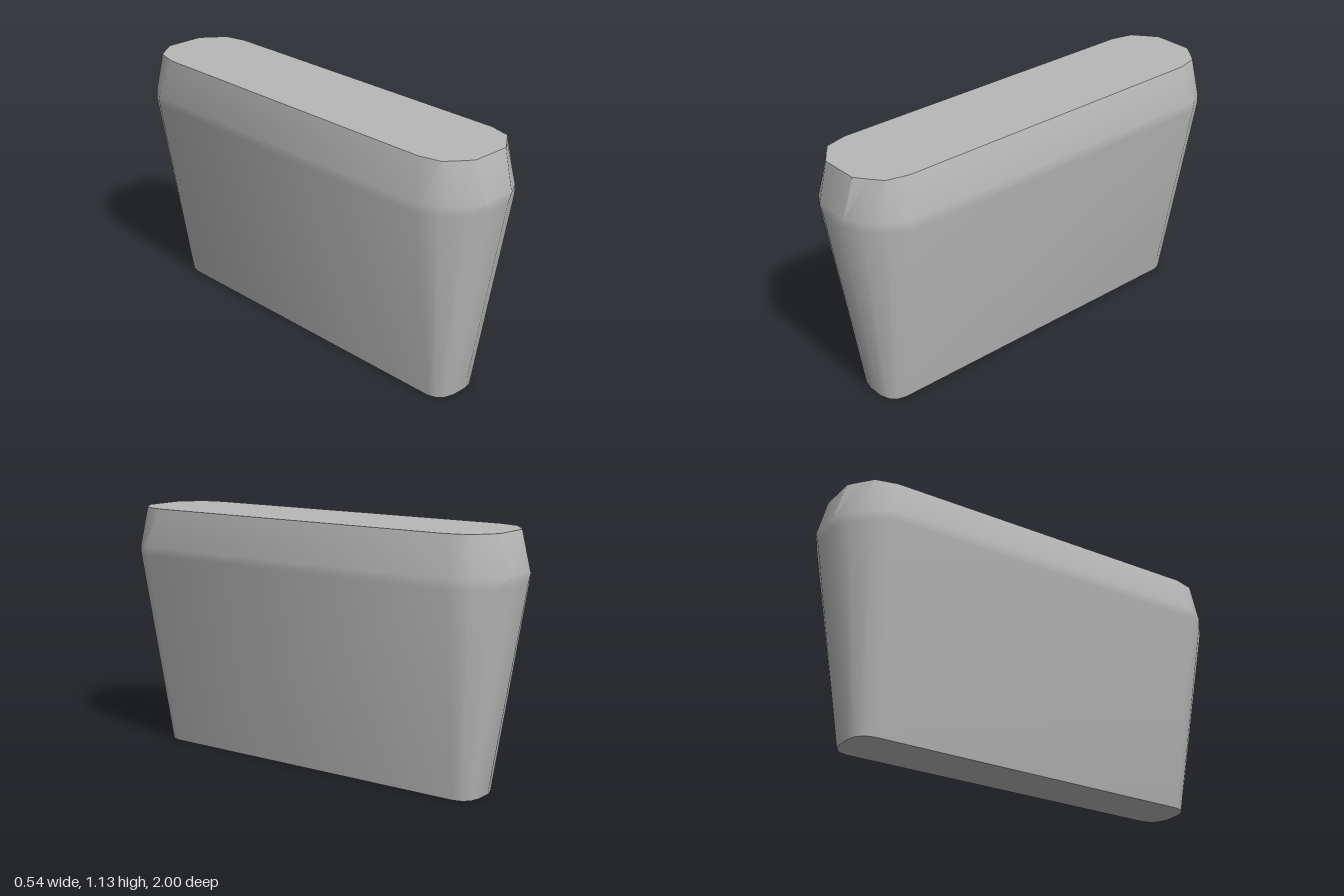
import * as THREE from 'three';
import { toCreasedNormals } from 'three/addons/utils/BufferGeometryUtils.js';

// Each section: height and one quarter of its outline as [x, z], from side to end
const SECTIONS = [
  { y: 0, quarter: [[0.12, 0.775], [0.108, 0.815], [0.08, 0.84], [0.035, 0.852]] },
  { y: 0.915, quarter: [[0.268, 0.81], [0.225, 0.89], [0.15, 0.96], [0.06, 1.0]] },
  { y: 0.955, quarter: [[0.268, 0.815], [0.22, 0.895], [0.15, 0.96], [0.08, 1.0]] },
  { y: 1.13, quarter: [[0.22, 0.77], [0.195, 0.87], [0.145, 0.91], [0.09, 0.95]] },
];

// Mirror the quarter into a closed loop
function ring({ y, quarter }) {
  const back = [...quarter].reverse();
  return [
    ...quarter.map(([x, z]) => [x, y, z]),
    ...back.map(([x, z]) => [-x, y, z]),
    ...quarter.map(([x, z]) => [-x, y, -z]),
    ...back.map(([x, z]) => [x, y, -z]),
  ];
}

// Skin between the sections, closed with flat caps
function loft(sections) {
  const rings = sections.map(ring);
  const n = rings[0].length;
  const index = [];
  for (let r = 0; r < rings.length - 1; r++) {
    for (let i = 0; i < n; i++) {
      const a = r * n + i, b = r * n + (i + 1) % n;
      index.push(a, a + n, b, b, a + n, b + n);
    }
  }
  const top = (rings.length - 1) * n;
  for (let i = 1; i < n - 1; i++) {
    index.push(0, i, i + 1);
    index.push(top, top + i + 1, top + i);
  }
  const geometry = new THREE.BufferGeometry();
  geometry.setAttribute('position', new THREE.Float32BufferAttribute(rings.flat(2), 3));
  geometry.setIndex(index);
  return toCreasedNormals(geometry, 0.6);
}

export function createModel() {
  const group = new THREE.Group();
  const grey = new THREE.MeshStandardMaterial({ color: 0xb8b8b8 });
  grey.name = 'grey';

  // Tapered block with rounded ends and a bevelled upper rim
  const body = new THREE.Mesh(loft(SECTIONS), grey);
  body.name = 'taperedBlock';
  group.add(body);
  return group;
}
